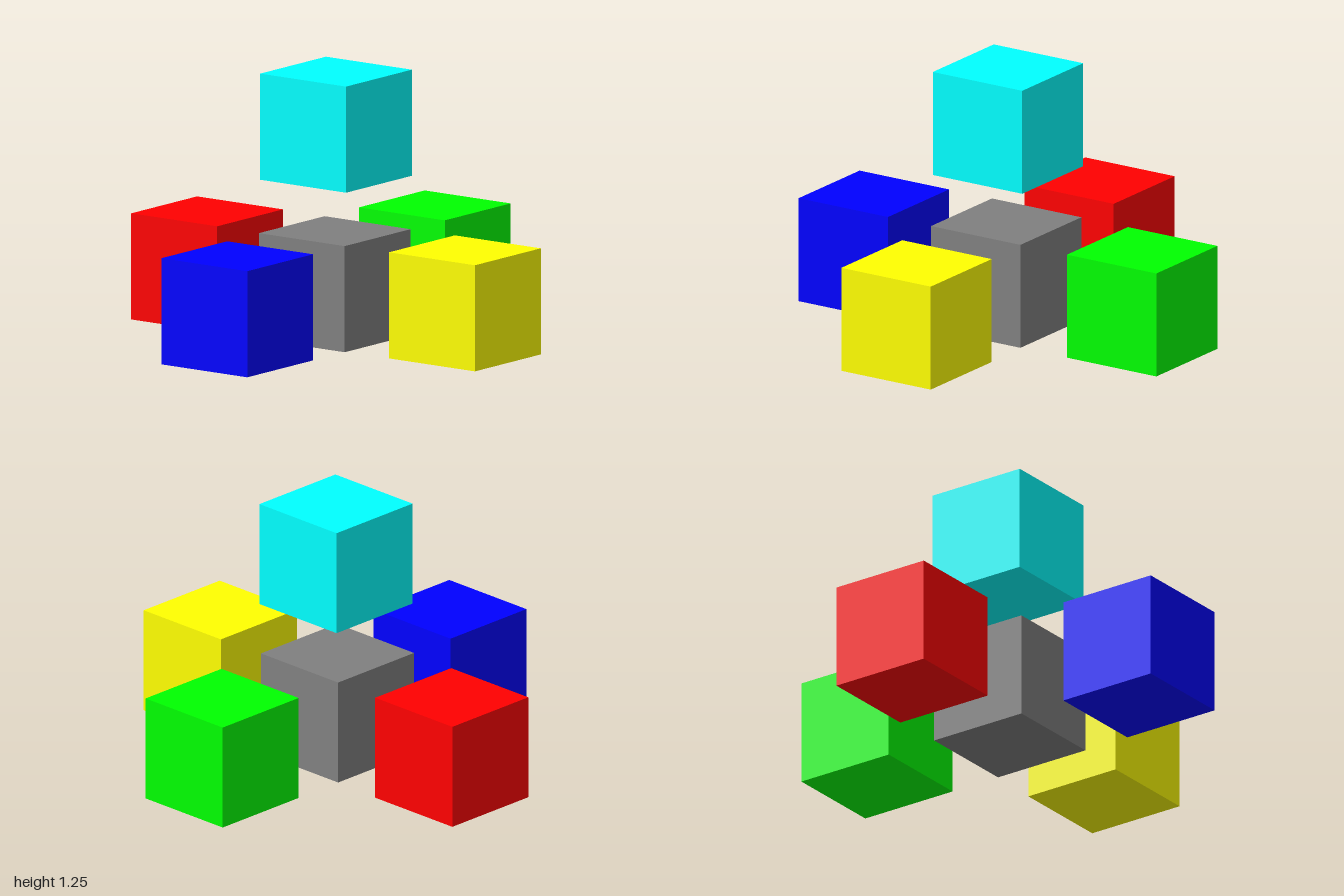
import * as THREE from 'three';

export function createModel() {
  const model = new THREE.Group();
  const size = 0.5;
  const geometry = new THREE.BoxGeometry(size, size, size);

  // One cube per axis direction around a grey centre cube: name, color, centre
  const cubes = [
    ['centerCube', 0x808080, [0, 0.25, 0.01]],
    ['leftCube', 0xffff00, [0.75, 0.25, 0]],
    ['rightCube', 0xff0000, [-0.75, 0.25, 0]],
    ['frontCube', 0x0000ff, [0, 0.25, 0.75]],
    ['backCube', 0x00ff00, [0, 0.25, -0.75]],
    ['topCube', 0x00ffff, [0, 1, 0]],
  ];

  for (const [name, color, position] of cubes) {
    const cube = new THREE.Mesh(geometry, new THREE.MeshStandardMaterial({ color }));
    cube.name = name;
    cube.position.set(...position);
    model.add(cube);
  }
  return model;
}
